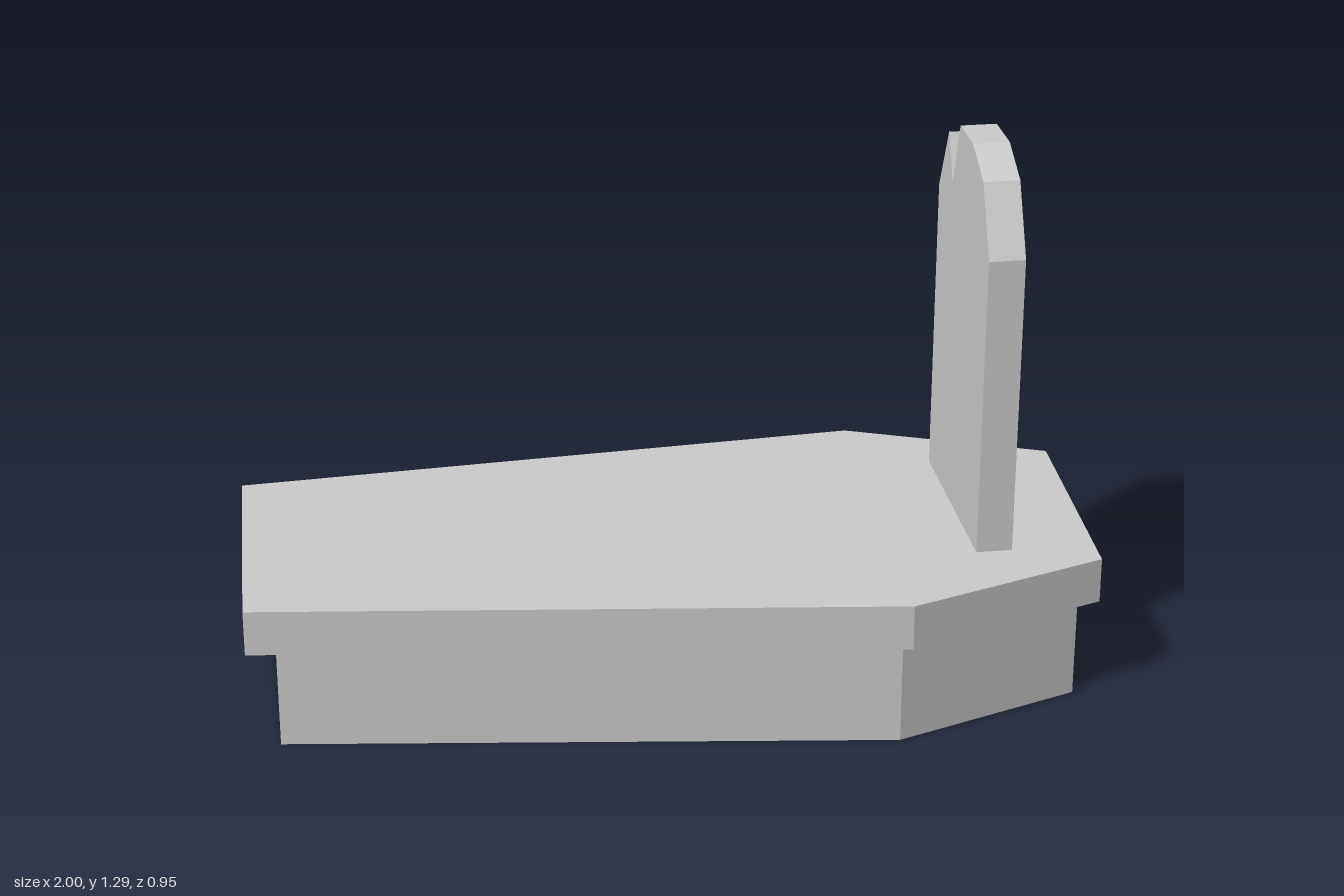
import * as THREE from 'three';

const material = new THREE.MeshStandardMaterial({ color: 0xcccccc, flatShading: true });

// Straight-sided prism from a 2D outline
function prism(points, depth) {
  const shape = new THREE.Shape(points.map(([a, b]) => new THREE.Vector2(a, b)));
  return new THREE.ExtrudeGeometry(shape, { depth, bevelEnabled: false });
}

// Horizontal slab: outline in (x, z), between heights y0 and y1
function slab(name, outline, y0, y1) {
  const geometry = prism(outline.map(([x, z]) => [x, -z]), y1 - y0);
  geometry.rotateX(-Math.PI / 2).translate(0, y0, 0);
  const mesh = new THREE.Mesh(geometry, material);
  mesh.name = name;
  return mesh;
}

// Upright slab: outline in (z, y), between x0 and x1
function upright(name, outline, x0, x1) {
  const geometry = prism(outline.map(([z, y]) => [-z, y]), x1 - x0);
  geometry.rotateY(Math.PI / 2).translate(x0, 0, 0);
  const mesh = new THREE.Mesh(geometry, material);
  mesh.name = name;
  return mesh;
}

export function createModel() {
  const group = new THREE.Group();
  group.name = 'coffinTomb';

  // Six-sided coffin body, slightly skewed
  group.add(slab('tombBase', [
    [-0.93, 0.27], [0.48, 0.46], [0.93, 0.30],
    [0.945, -0.27], [0.51, -0.46], [-0.915, -0.365],
  ], 0, 0.243));

  // Overhanging lid
  group.add(slab('tombLid', [
    [-1.0, 0.28], [0.5, 0.475], [0.98, 0.31],
    [1.0, -0.285], [0.53, -0.478], [-0.98, -0.38],
  ], 0.243, 0.353));

  // Headstone with a chipped notch in its rounded top
  group.add(upright('headstone', [
    [0.232, 0.353], [0.232, 1.08], [0.15, 1.24], [0.042, 1.293],
    [-0.082, 1.293], [-0.137, 1.132], [-0.19, 1.24], [-0.27, 1.08], [-0.27, 0.353],
  ], 0.7, 0.785));

  return group;
}
